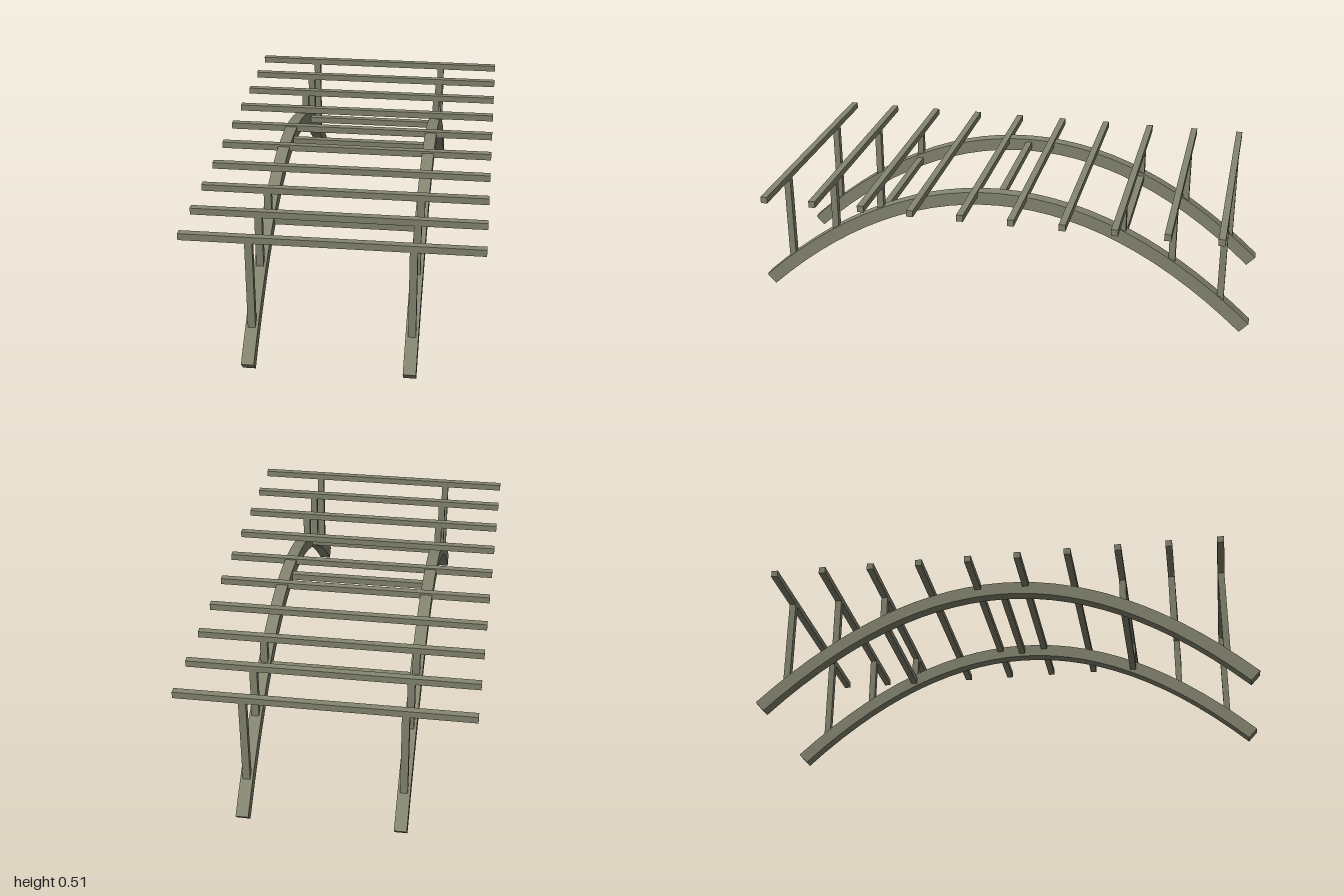
import * as THREE from 'three';

export function createModel() {
  const model = new THREE.Group();
  model.name = 'archedFrame';
  const timber = new THREE.MeshStandardMaterial({ color: 0x868772 });
  timber.name = 'weathered timber';

  const BAR = 0.026;        // thickness of the slender members
  const ARCH_X = 0.293;     // distance of each arch from the middle
  const ARCH_W = 0.047;
  const ARCH_T = 0.052;
  const END = 0.982;        // half span of the arch centre line
  const RISE = 0.458;
  const TOP = 0.482;
  const BEAM_Y = 0.497;
  const STEP = 0.196;
  const archY = z => TOP - RISE * (z / END) ** 2;

  function add(name, geometry, x = 0, y = 0, z = 0) {
    const mesh = new THREE.Mesh(geometry, timber);
    mesh.name = name;
    mesh.position.set(x, y, z);
    model.add(mesh);
    return mesh;
  }

  // Side outline of the parabolic arch, offset either way from its centre line
  const segments = 28;
  const upper = [], lower = [];
  for (let i = 0; i <= segments; i++) {
    const z = -END + (2 * END * i) / segments;
    const slope = (-2 * RISE * z) / END ** 2;
    const normal = new THREE.Vector2(-slope, 1).setLength(ARCH_T / 2);
    const centre = new THREE.Vector2(z, archY(z));
    upper.push(centre.clone().add(normal));
    lower.push(centre.clone().sub(normal));
  }
  const outline = new THREE.Shape([...lower, ...upper.reverse()]);
  const archGeometry = new THREE.ExtrudeGeometry(outline, { depth: ARCH_W, bevelEnabled: false });
  archGeometry.translate(0, 0, -ARCH_W / 2);
  archGeometry.rotateY(-Math.PI / 2);

  for (const side of [-1, 1]) {
    const label = side > 0 ? 'left' : 'right';
    add(label + 'Arch', archGeometry, side * ARCH_X);

    // Posts stand on the arch under the three outer beams at each end
    for (const end of [-1, 1]) {
      for (let i = 2; i < 5; i++) {
        const z = end * STEP * (i + 0.5);
        const base = archY(z), top = BEAM_Y - BAR / 2;
        add(label + 'Post', new THREE.BoxGeometry(0.028, top - base, BAR),
          side * ARCH_X, (base + top) / 2, z);
      }
    }
  }

  // Ten level cross beams
  const beamGeometry = new THREE.BoxGeometry(1.094, BAR, BAR);
  for (let i = 0; i < 10; i++) add('crossBeam', beamGeometry, 0, BEAM_Y, (i - 4.5) * STEP);

  // Braces tying the two arches together
  const braceGeometry = new THREE.BoxGeometry(ARCH_X * 2, BAR, BAR);
  for (const z of [-2.5 * STEP, 0, 2.5 * STEP]) add('archBrace', braceGeometry, 0, archY(z), z);

  return model;
}
